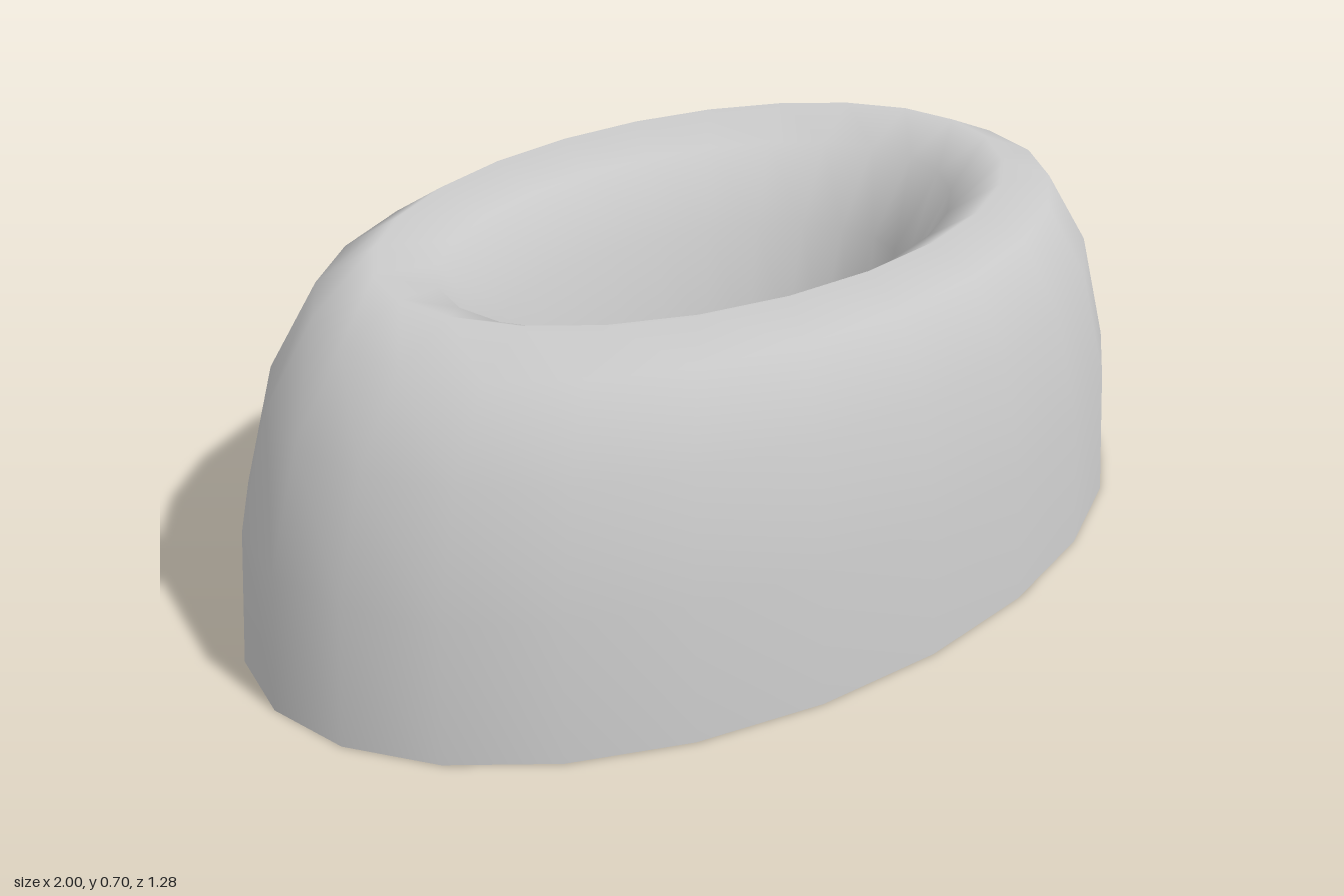
import * as THREE from 'three';

export function createModel() {
  const group = new THREE.Group();
  group.name = 'ovalRing';

  // Half-ellipse cross-section, from the outer rim over the crest to the inner rim
  const crestRadius = 0.685, halfWidth = 0.315, height = 0.7, steps = 8;
  const profile = [];
  for (let i = 0; i <= steps; i++) {
    const a = (i / steps) * Math.PI;
    profile.push(new THREE.Vector2(
      crestRadius + halfWidth * Math.cos(a),
      i === steps ? 0 : height * Math.sin(a)
    ));
  }

  // Open-bottomed shell, squashed front to back into an oval
  const geometry = new THREE.LatheGeometry(profile, 24);
  geometry.scale(1, 1, 0.64);
  const shell = new THREE.Mesh(
    geometry,
    new THREE.MeshStandardMaterial({ color: 0xcccccc, side: THREE.DoubleSide })
  );
  shell.name = 'ringShell';
  group.add(shell);

  return group;
}
